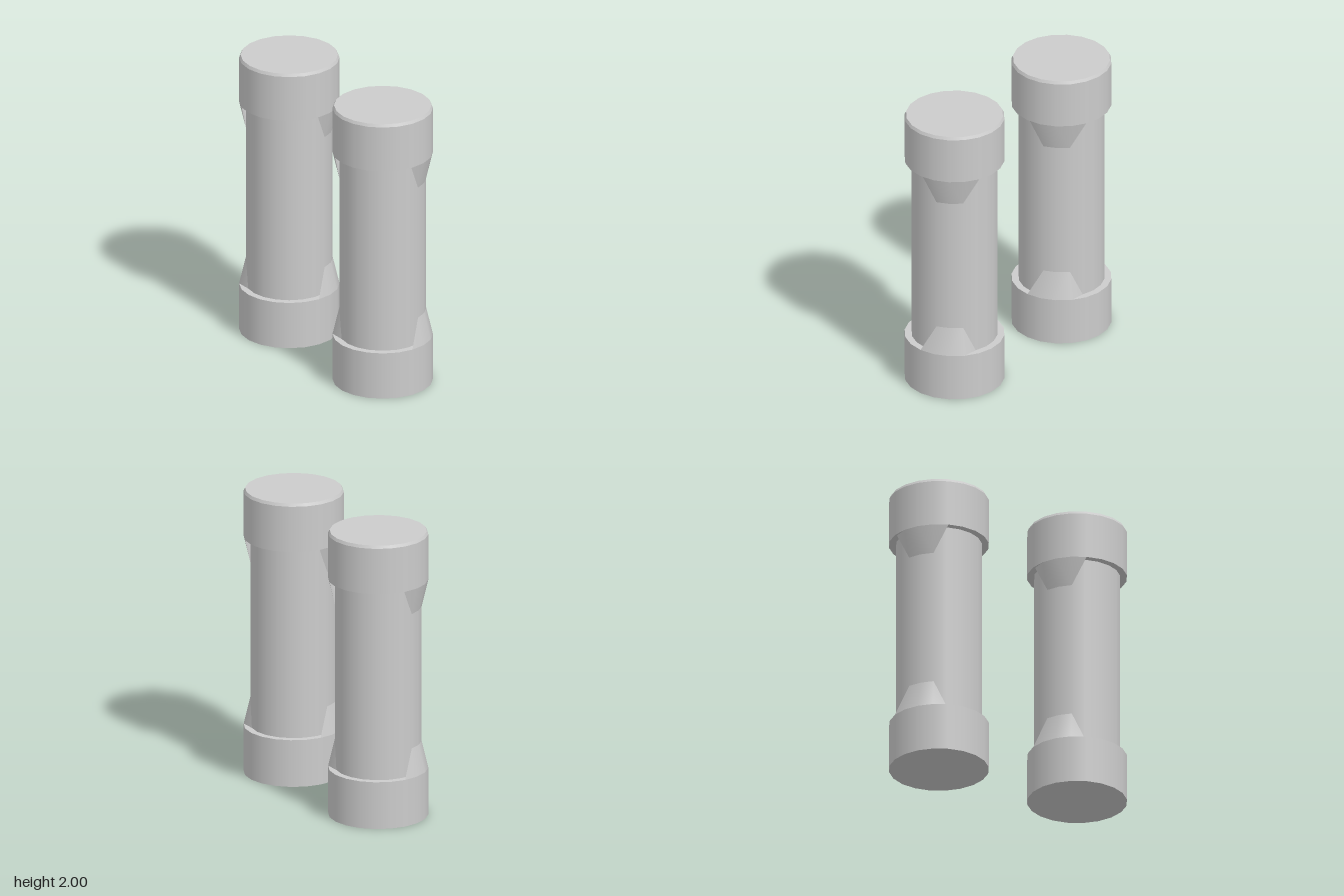
import * as THREE from 'three';

const SIDES = 20;
const STEP = (Math.PI * 2) / SIDES;
const SHAFT_R = 0.29;
const CAP_R = 0.337;
const CAP_H = 0.33;
const TOP = 2;

const grey = new THREE.MeshStandardMaterial({ color: 0xcccccc });
const greyThin = new THREE.MeshStandardMaterial({ color: 0xcccccc, side: THREE.DoubleSide });

function drum(name, rTop, rBottom, y0, y1, open = false) {
  const geo = new THREE.CylinderGeometry(rTop, rBottom, y1 - y0, SIDES, 1, open);
  const mesh = new THREE.Mesh(geo, grey);
  mesh.name = name;
  mesh.position.y = (y0 + y1) / 2;
  return mesh;
}

// Tapered bracket: four facets wide at the cap, two facets wide on the shaft.
// The two end radii let each wing sit on the rim or fold back to the shaft.
function bracket(name, yCap, yShaft, startRadius, endRadius) {
  const at = (k, r, y) => [Math.sin(k * STEP) * r, y, Math.cos(k * STEP) * r];
  const rim = [startRadius, CAP_R, CAP_R, CAP_R, endRadius].map((r, k) => at(k, r, yCap));
  const tip = [1, 2, 3].map((k) => at(k, SHAFT_R + 0.002, yShaft));
  const geo = new THREE.BufferGeometry();
  geo.setAttribute('position', new THREE.Float32BufferAttribute([...rim, ...tip].flat(), 3));
  const index = [0, 1, 5, 1, 2, 6, 1, 6, 5, 2, 3, 7, 2, 7, 6, 3, 4, 7];
  if (yCap > yShaft) index.reverse();
  geo.setIndex(index);
  geo.computeVertexNormals();
  const mesh = new THREE.Mesh(geo, greyThin);
  mesh.name = name;
  return mesh;
}

function column(name) {
  const g = new THREE.Group();
  g.name = name;
  g.add(
    drum('baseCap', CAP_R, CAP_R, 0, CAP_H),
    drum('shaft', SHAFT_R, SHAFT_R, CAP_H - 0.02, TOP - CAP_H, true),
    drum('topCap', CAP_R, CAP_R, TOP - CAP_H - 0.01, TOP - 0.02),
    drum('topBevel', CAP_R - 0.01, CAP_R, TOP - 0.02, TOP)
  );
  // A pair of brackets on opposite sides, at both ends of the shaft
  for (const turn of [0, Math.PI]) {
    const lower = bracket('lowerBracket', CAP_H, 0.52, CAP_R, SHAFT_R);
    const upper = bracket('upperBracket', TOP - CAP_H - 0.01, 1.47, 0.322, CAP_R);
    lower.rotation.y = upper.rotation.y = turn;
    g.add(lower, upper);
  }
  return g;
}

export function createModel() {
  const model = new THREE.Group();
  model.name = 'columnPair';
  for (const [name, z] of [['frontColumn', 0.53], ['backColumn', -0.53]]) {
    const c = column(name);
    c.position.z = z;
    model.add(c);
  }
  return model;
}
